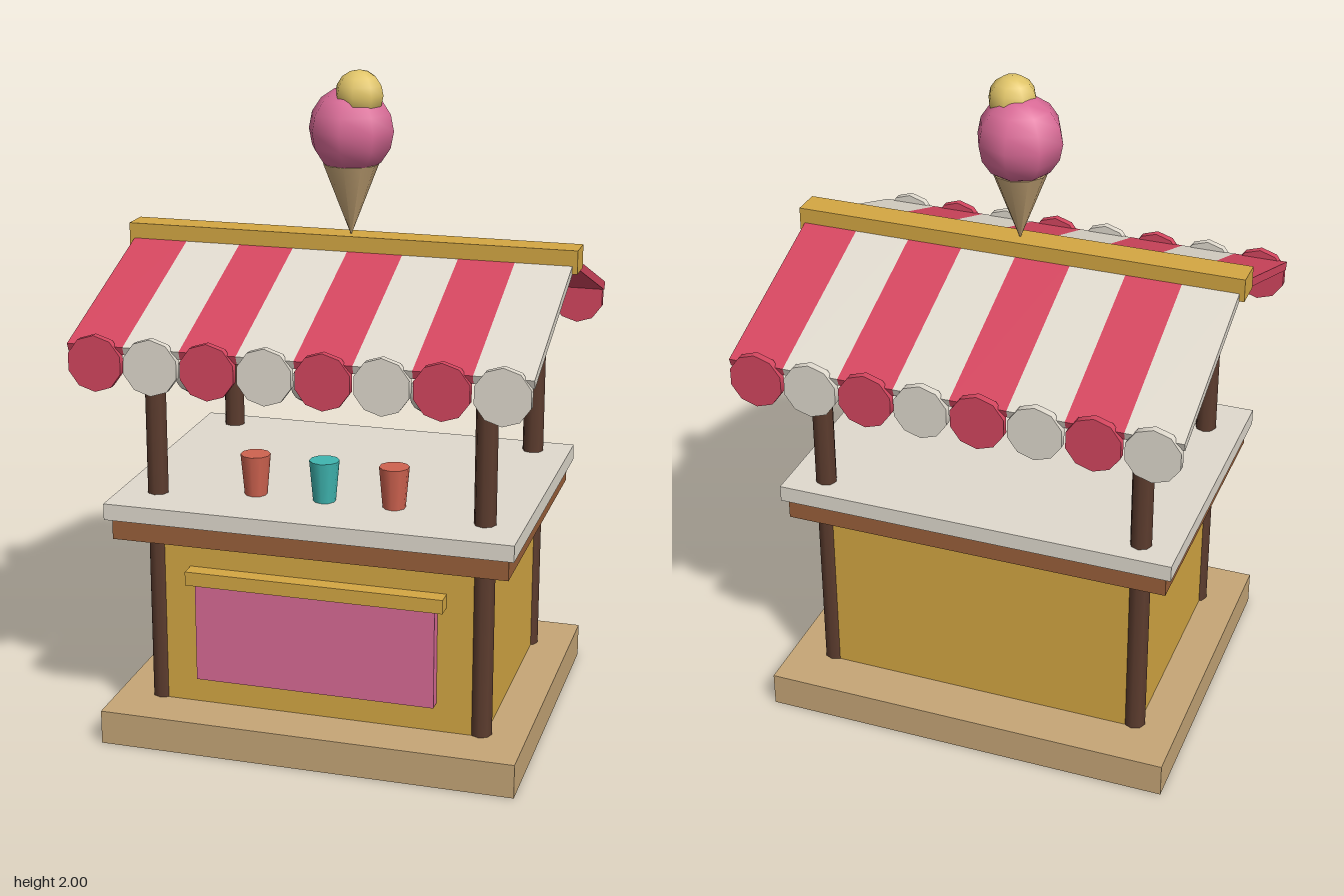
import * as THREE from 'three';

const mat = (name, color) => {
  const m = new THREE.MeshStandardMaterial({ color });
  m.name = name;
  return m;
};

export function createModel() {
  const model = new THREE.Group();
  model.name = 'iceCreamStall';

  const cream = mat('cream', 0xe0dace);
  const red = mat('red', 0xd4465f);
  const yellow = mat('mustardYellow', 0xd4a743);
  const wood = mat('warmWood', 0x99603a);
  const darkWood = mat('darkWood', 0x5c3c2e);
  const tan = mat('tan', 0xc6a677);
  const pink = mat('pink', 0xd96a96);
  const coral = mat('coral', 0xcf6350);
  const teal = mat('teal', 0x3fb5b0);
  const lemon = mat('lemon', 0xe0c468);

  const add = (name, geometry, material, x, y, z, parent = model) => {
    const mesh = new THREE.Mesh(geometry, material);
    mesh.name = name;
    mesh.position.set(x, y, z);
    parent.add(mesh);
    return mesh;
  };
  // Box given by its size, bottom height and centre
  const box = (name, material, w, h, d, bottom, z = 0) =>
    add(name, new THREE.BoxGeometry(w, h, d), material, 0, bottom + h / 2, z);

  // Base, body and counter
  box('base', tan, 1.275, 0.105, 1.045, 0);
  box('body', yellow, 1.03, 0.55, 0.74, 0.105);
  box('counterEdge', wood, 1.195, 0.065, 0.893, 0.65, 0.03);
  box('counterTop', cream, 1.232, 0.05, 0.928, 0.715, 0.032);

  // Front panel with its ledge
  box('frontPanel', pink, 0.737, 0.31, 0.05, 0.195, 0.383);
  box('frontLedge', yellow, 0.79, 0.043, 0.06, 0.502, 0.39);

  // Corner posts
  for (const sx of [-1, 1]) {
    for (const sz of [-1, 1]) {
      add('post', new THREE.CylinderGeometry(0.033, 0.033, 1.17, 8), darkWood,
        sx * 0.5, 0.69, sz * 0.348);
    }
  }

  // Cups on the counter
  [coral, teal, coral].forEach((material, i) => {
    add('cup', new THREE.CylinderGeometry(0.045, 0.034, 0.125, 10), material,
      (i - 1) * 0.213, 0.8275, 0.284);
  });

  // Striped awning: two slopes, each stripe ending in a round scallop
  const awning = new THREE.Group();
  awning.name = 'awning';
  model.add(awning);
  const stripe = 1.35 / 8;
  const rise = 0.205, run = 0.565;
  const slope = Math.atan2(rise, run);
  const length = Math.hypot(rise, run);
  for (const side of [1, -1]) {
    for (let i = 0; i < 8; i++) {
      const material = (i % 2 === 0) === (side === 1) ? red : cream;
      const x = (i - 3.5) * stripe;
      const panel = add('awningStripe', new THREE.BoxGeometry(stripe, 0.026, length),
        material, x, 1.362, side * 0.287, awning);
      panel.rotation.x = side * slope;
      const scallop = add('scallop', new THREE.CylinderGeometry(0.083, 0.083, 0.023, 10),
        material, x, 1.22, side * 0.571, awning);
      scallop.rotation.x = side * Math.PI / 2;
    }
  }
  box('ridgeBeam', yellow, 1.38, 0.07, 0.09, 1.44);

  // Round lights under the front of the awning
  for (const x of [-0.347, 0, 0.347]) {
    add('light', new THREE.SphereGeometry(0.053, 10, 8), cream, x, 1.168, 0.436);
  }

  // Ice cream on the ridge
  const cone = add('cone', new THREE.ConeGeometry(0.083, 0.215, 10), tan, 0, 1.6125, 0);
  cone.rotation.x = Math.PI;
  add('bigScoop', new THREE.SphereGeometry(0.13, 8, 8), pink, 0, 1.82, 0);
  add('smallScoop', new THREE.SphereGeometry(0.073, 8, 8), lemon, 0.03, 1.927, 0.02);

  return model;
}
